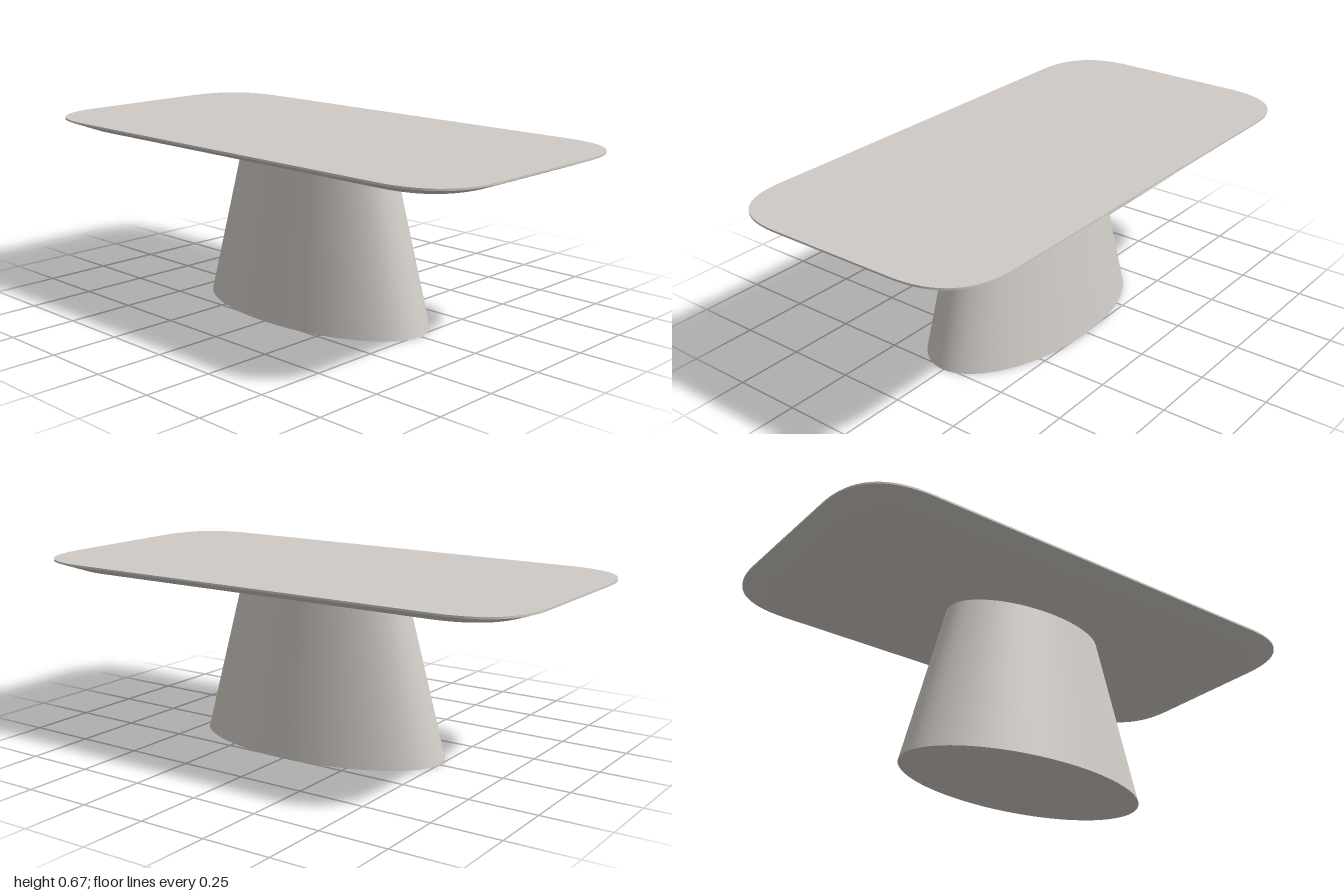
import * as THREE from 'three';

// Rounded rectangle whose corners are soft parabolic curves
function outline(halfX, halfZ, corner) {
  const s = new THREE.Shape();
  s.moveTo(halfX, -halfZ + corner);
  s.lineTo(halfX, halfZ - corner);
  s.quadraticCurveTo(halfX, halfZ, halfX - corner, halfZ);
  s.lineTo(-halfX + corner, halfZ);
  s.quadraticCurveTo(-halfX, halfZ, -halfX, halfZ - corner);
  s.lineTo(-halfX, -halfZ + corner);
  s.quadraticCurveTo(-halfX, -halfZ, -halfX + corner, -halfZ);
  s.lineTo(halfX - corner, -halfZ);
  s.quadraticCurveTo(halfX, -halfZ, halfX, -halfZ + corner);
  return s;
}

// Smooth band between two outlines at different heights
function band(lower, yLower, upper, yUpper) {
  const a = lower.getPoints(16).slice(0, -1);
  const b = upper.getPoints(16).slice(0, -1);
  const n = a.length, pos = [], index = [];
  a.forEach((p) => pos.push(p.x, yLower, -p.y));
  b.forEach((p) => pos.push(p.x, yUpper, -p.y));
  for (let i = 0; i < n; i++) {
    const j = (i + 1) % n;
    index.push(i, j, n + j, i, n + j, n + i);
  }
  const g = new THREE.BufferGeometry();
  g.setAttribute('position', new THREE.Float32BufferAttribute(pos, 3));
  g.setIndex(index);
  g.computeVertexNormals();
  return g;
}

// Flat face filling an outline, facing up or down
function cap(shape, y, up) {
  const g = new THREE.ShapeGeometry(shape, 16);
  g.rotateX(up ? -Math.PI / 2 : Math.PI / 2);
  return g.translate(0, y, 0);
}

export function createModel() {
  const model = new THREE.Group();
  model.name = 'table';
  const stone = new THREE.MeshStandardMaterial({ color: 0xcfcac4 });
  stone.name = 'warm grey';

  const add = (parent, name, geometry) => {
    const mesh = new THREE.Mesh(geometry, stone);
    mesh.name = name;
    parent.add(mesh);
  };

  // Table top: thin rim with a wide bevel underneath
  const top = new THREE.Group();
  top.name = 'tableTop';
  model.add(top);
  const rim = outline(1, 0.505, 0.26);
  const under = outline(0.918, 0.427, 0.23);
  add(top, 'topFace', cap(rim, 0.667, true));
  add(top, 'rim', band(rim, 0.66, rim, 0.667));
  add(top, 'bevel', band(under, 0.628, rim, 0.66));
  add(top, 'underside', cap(under, 0.628, false));

  // Pedestal: tapered oval column
  const column = new THREE.CylinderGeometry(0.335, 0.507, 0.628, 96);
  column.scale(1, 1, 0.518);
  column.translate(0.007, 0.314, 0.005);
  add(model, 'pedestal', column);

  return model;
}
